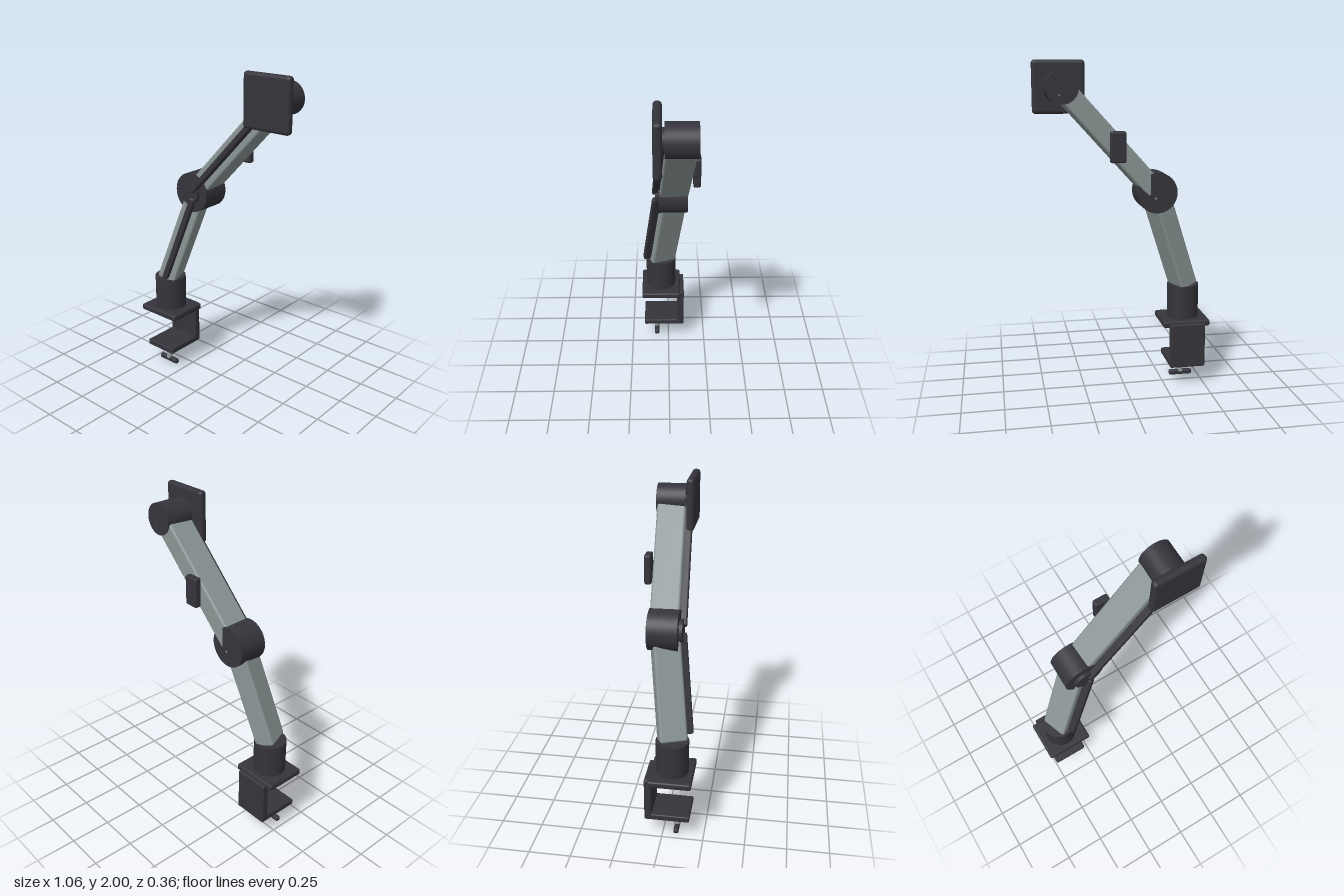
import * as THREE from 'three';
import { RoundedBoxGeometry } from 'three/addons/geometries/RoundedBoxGeometry.js';

const dark = new THREE.MeshStandardMaterial({ color: 0x35343b });
dark.name = 'charcoal plastic';
const grey = new THREE.MeshStandardMaterial({ color: 0x8b9595 });
grey.name = 'grey metal';
const steel = new THREE.MeshStandardMaterial({ color: 0x9c9fa0 });
steel.name = 'steel';

function add(parent, name, geometry, material, x, y, z) {
  const mesh = new THREE.Mesh(geometry, material);
  mesh.name = name;
  mesh.position.set(x, y, z);
  parent.add(mesh);
  return mesh;
}

// Box given by its extents, with softened edges
function box(parent, name, [x0, x1], [y0, y1], [z0, z1], r, material = dark) {
  return add(parent, name, new RoundedBoxGeometry(x1 - x0, y1 - y0, z1 - z0, 3, r), material,
    (x0 + x1) / 2, (y0 + y1) / 2, (z0 + z1) / 2);
}

// Cylinder lying along z
function hub(parent, name, x, y, z0, z1, r) {
  const g = new THREE.CylinderGeometry(r, r, z1 - z0, 48).rotateX(Math.PI / 2);
  return add(parent, name, g, dark, x, y, (z0 + z1) / 2);
}

// Arm beam with a cable cover on its front, running from a to b
function arm(parent, name, a, b, depth, coverStart, coverEnd) {
  const g = new THREE.Group();
  g.name = name;
  const up = b.clone().sub(a);
  const len = up.length();
  up.normalize();
  const front = new THREE.Vector3(-up.z, 0, up.x).normalize();
  const side = up.clone().cross(front);
  g.quaternion.setFromRotationMatrix(new THREE.Matrix4().makeBasis(side, up, front));
  g.position.copy(a);
  box(g, name + 'Beam', [-0.06, 0.06], [0, len], [-depth / 2, depth / 2], 0.015, grey);
  box(g, name + 'CableCover', [-0.018, 0.018], [coverStart, len - coverEnd], [0.078, 0.128], 0.01);
  parent.add(g);
}

export function createModel() {
  const model = new THREE.Group();
  model.name = 'monitorArm';
  const base = new THREE.Vector3(-0.39, 0.62, 0.05);
  const elbow = new THREE.Vector3(-0.185, 1.23, -0.026);
  const head = new THREE.Vector3(0.373, 1.845, -0.063);

  // Desk clamp
  const clamp = new THREE.Group();
  clamp.name = 'clamp';
  model.add(clamp);
  box(clamp, 'basePlate', [-0.535, -0.24], [0.375, 0.415], [-0.08, 0.178], 0.012);
  box(clamp, 'clampBack', [-0.5, -0.28], [0.12, 0.4], [-0.105, -0.062], 0.008);
  box(clamp, 'clampJaw', [-0.5, -0.28], [0.12, 0.158], [-0.105, 0.165], 0.008);
  add(clamp, 'clampScrew', new THREE.CylinderGeometry(0.018, 0.018, 0.12, 24), steel, -0.39, 0.08, 0.08);
  box(clamp, 'screwHandle', [-0.463, -0.315], [0, 0.032], [0.065, 0.096], 0.01);

  // Pillar and arms
  add(model, 'pillar', new THREE.CylinderGeometry(0.098, 0.098, 0.215, 48), dark, base.x, 0.5175, base.z);
  arm(model, 'lowerArm', base, elbow, 0.163, 0.03, 0.025);
  arm(model, 'upperArm', elbow, head, 0.172, 0.025, 0.06);

  // Elbow joint with its front cap
  hub(model, 'elbowJoint', elbow.x, elbow.y, -0.115, 0.062, 0.121);
  hub(model, 'elbowCap', elbow.x, elbow.y, 0.055, 0.083, 0.068);

  // Head joint, connector and mounting plate
  hub(model, 'headJoint', head.x, head.y, -0.15, 0.025, 0.094);
  hub(model, 'plateConnector', head.x, head.y, 0.02, 0.05, 0.065);
  box(model, 'mountingPlate', [0.22, 0.53], [1.69, 2], [0.038, 0.086], 0.02);

  // Cable clip on the back of the upper arm
  box(model, 'cableClip', [0.013, 0.105], [1.42, 1.6], [-0.18, -0.137], 0.012);

  return model;
}
